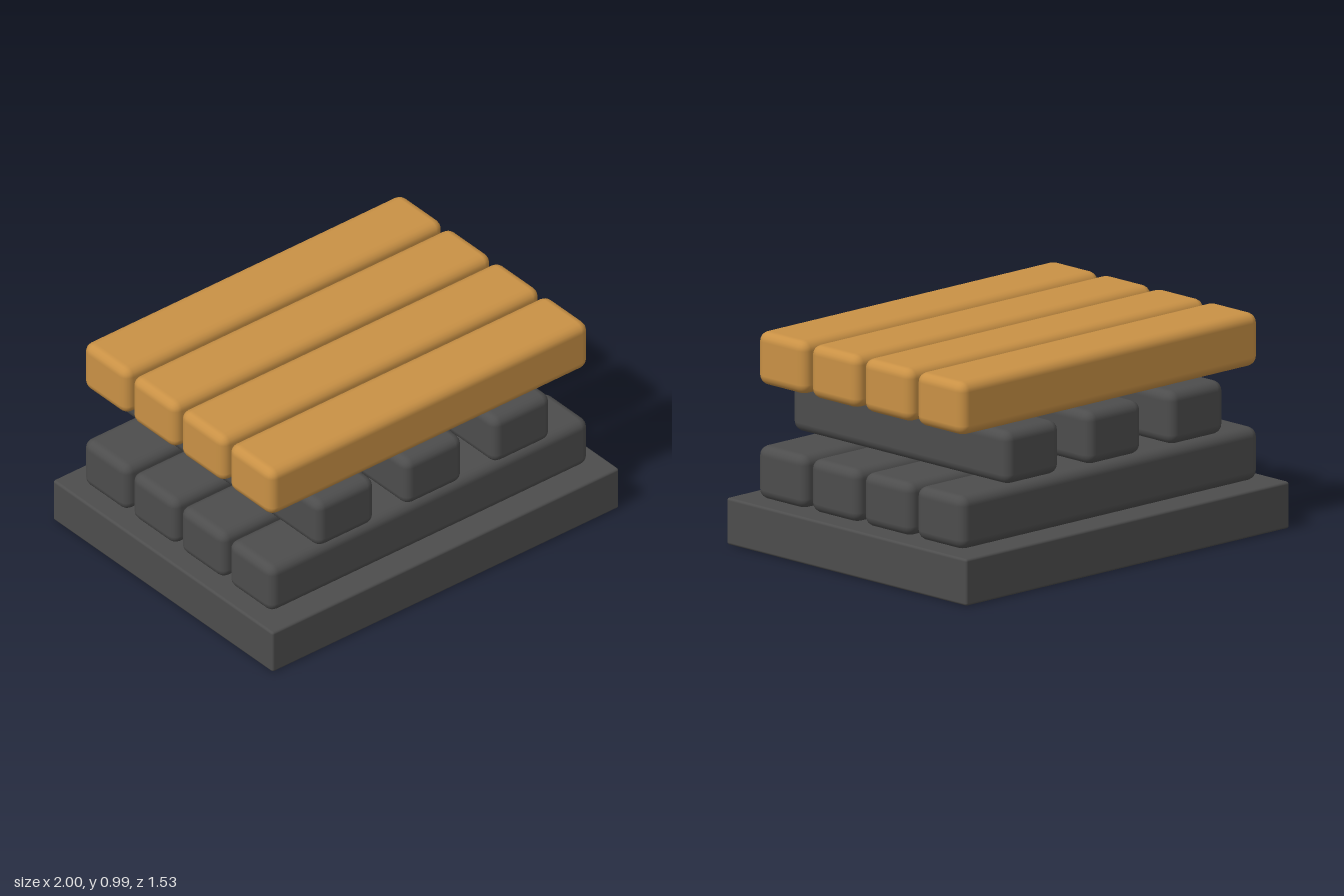
import * as THREE from 'three';
import { RoundedBoxGeometry } from 'three/addons/geometries/RoundedBoxGeometry.js';

export function createModel() {
  const group = new THREE.Group();
  const charcoal = new THREE.MeshStandardMaterial({ color: 0x4d4d4d });
  charcoal.name = 'charcoal';
  const wood = new THREE.MeshStandardMaterial({ color: 0xc99145 });
  wood.name = 'wood';

  // Rounded block whose underside sits at height y
  function block(name, [w, h, d], x, y, z, radius, material) {
    const mesh = new THREE.Mesh(new RoundedBoxGeometry(w, h, d, 2, radius), material);
    mesh.name = name;
    mesh.position.set(x, y + h / 2, z);
    group.add(mesh);
  }

  // Base slab
  block('base', [2, 0.215, 1.535], 0, 0, 0, 0.012, charcoal);

  // Long beams below and matching wooden planks on top
  [-0.507, -0.169, 0.169, 0.507].forEach((z, i) => {
    block(`lowerBeam${i + 1}`, [1.84, 0.245, 0.307], 0, 0.217, z, 0.045, charcoal);
    block(`topPlank${i + 1}`, [1.84, 0.245, 0.307], 0, 0.741, z, 0.045, wood);
  });

  // Cross beams between them, running front to back
  [-0.508, 0, 0.508].forEach((x, i) => {
    block(`crossBeam${i + 1}`, [0.335, 0.245, 1.385], x, 0.479, 0, 0.045, charcoal);
  });

  return group;
}
